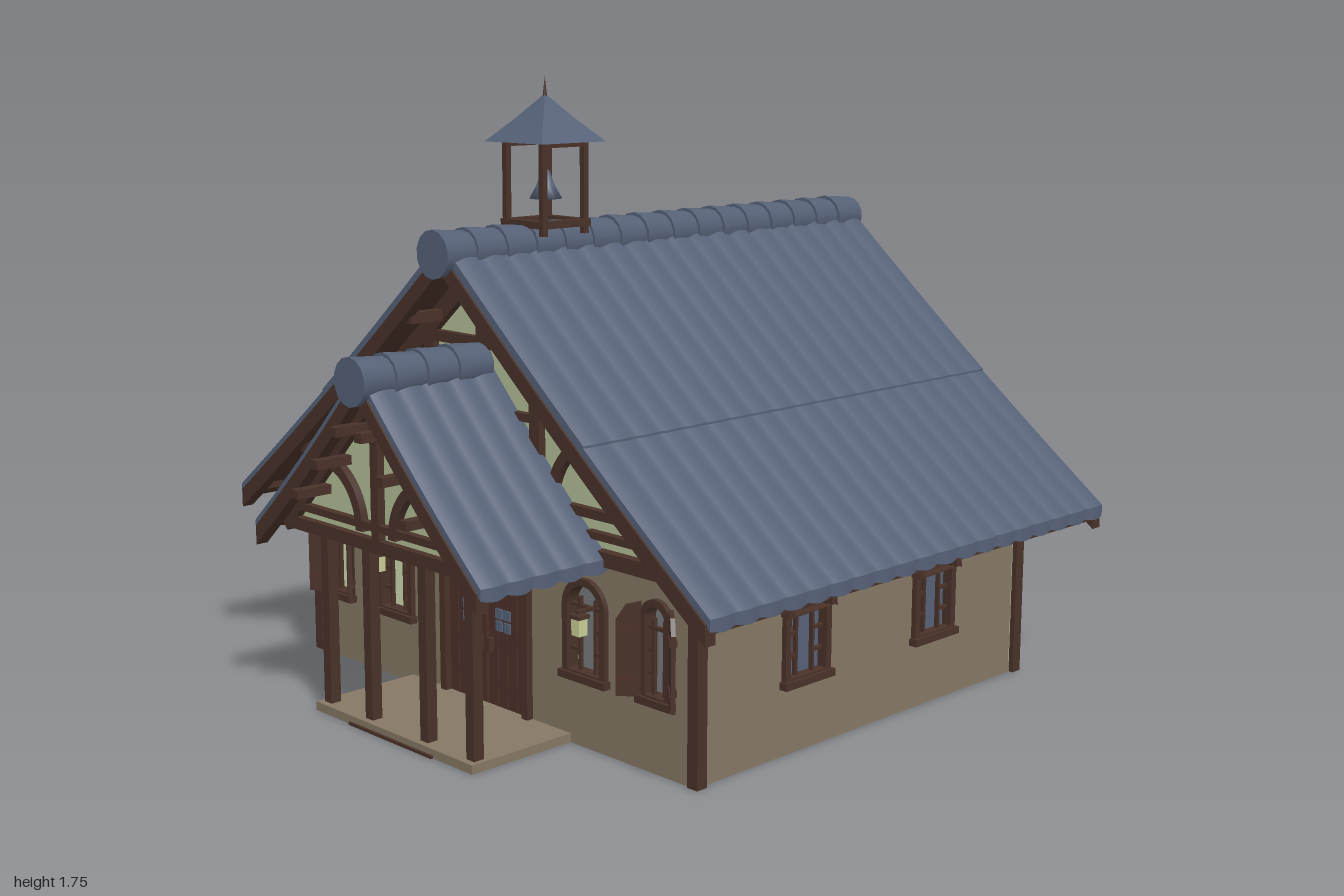
import * as THREE from 'three';

const mat = (name, color, side = THREE.FrontSide) => {
  const m = new THREE.MeshStandardMaterial({ color, side });
  m.name = name;
  return m;
};

export function createModel() {
  const slate = mat('slate', 0x566177);
  const wood = mat('dark timber', 0x493229);
  const doorWood = mat('door timber', 0x4d2f29);
  const stone = mat('tan wall', 0x857764);
  const plaster = mat('pale green plaster', 0xb3bf98);
  const glass = mat('window glass', 0x566177, THREE.DoubleSide);
  const lamp = mat('lantern glow', 0xc9cc94);

  const model = new THREE.Group();
  model.name = 'timberHouse';
  const house = new THREE.Group();
  house.name = 'house';
  house.position.z = -0.155;
  model.add(house);

  const add = (parent, name, geo, material, x = 0, y = 0, z = 0) => {
    const m = new THREE.Mesh(geo, material);
    m.name = name;
    m.position.set(x, y, z);
    parent.add(m);
    return m;
  };
  const box = (p, name, m, w, h, d, x, y, z) => add(p, name, new THREE.BoxGeometry(w, h, d), m, x, y, z);
  const beam = (p, x1, y1, x2, y2, w, z, d = 0.03) => {
    const b = box(p, 'beam', wood, Math.hypot(x2 - x1, y2 - y1), w, d, (x1 + x2) / 2, (y1 + y2) / 2, z);
    b.rotation.z = Math.atan2(y2 - y1, x2 - x1);
  };
  const extrude = (shape, depth) => new THREE.ExtrudeGeometry(shape, { depth, bevelEnabled: false, curveSegments: 12 });

  // Arched outline; rise is the height of the arch
  const arch = (P, x, hw, y0, y1, rise = hw) => {
    const s = new P();
    s.moveTo(x - hw, y0);
    s.lineTo(x + hw, y0);
    s.lineTo(x + hw, y1 - rise);
    s.absellipse(x, y1 - rise, hw, rise, 0, Math.PI, false);
    s.closePath();
    return s;
  };
  const polygon = pts => new THREE.Shape(pts.map(p => new THREE.Vector2(...p)));
  const curvedBrace = (p, x, y, r, a0, a1, z) => {
    const s = new THREE.Shape();
    s.absarc(x, y, r + 0.015, a0, a1, false);
    s.absarc(x, y, r - 0.015, a1, a0, true);
    add(p, 'curvedBrace', extrude(s, 0.025), wood, 0, 0, z);
  };

  // Window with frame, bars and optional glass, shutters and hood
  const addWindow = (p, x, hw, d, { glazed, shutters, hood }) => {
    const g = new THREE.Group();
    g.name = 'window';
    g.position.set(x, 0, d);
    p.add(g);
    const frame = arch(THREE.Shape, 0, hw, 0.19, 0.465);
    frame.holes.push(arch(THREE.Path, 0, hw - 0.02, 0.21, 0.445));
    add(g, 'windowFrame', extrude(frame, 0.04), wood, 0, 0, -0.025);
    box(g, 'sill', wood, hw * 2 + 0.015, 0.02, 0.05, 0, 0.195, 0);
    const bx = hw * 0.36;
    for (const s of [-1, 1]) {
      box(g, 'windowBar', wood, 0.008, 0.2, 0.012, s * bx, 0.31, -0.005);
      for (const y of [0.265, 0.325, 0.385]) {
        const w = hw - 0.018 - bx;
        box(g, 'windowCrossbar', wood, w, 0.009, 0.012, s * (bx + w / 2), y, -0.005);
      }
    }
    box(g, 'windowCrossbar', wood, bx * 2, 0.009, 0.012, 0, 0.385, -0.005);
    if (glazed) add(g, 'glass', new THREE.ShapeGeometry(arch(THREE.Shape, 0, hw - 0.015, 0.2, 0.45)), glass, 0, 0, -0.015);
    if (hood) {
      const h = arch(THREE.Shape, 0, hw + 0.005, 0.385, 0.475);
      h.holes.push(arch(THREE.Path, 0, hw - 0.018, 0.385001, 0.45, 0.06));
      add(g, 'hood', extrude(h, 0.03), wood);
    }
    if (shutters) for (const s of [-1, 1]) {
      const hinge = new THREE.Group();
      hinge.name = 'shutter';
      hinge.position.set(s * (hw + 0.002), 0, 0.005);
      hinge.rotation.y = -s * 0.7;
      g.add(hinge);
      const top = s > 0 ? [[0, 0.45], [0.04, 0.44], [0.065, 0.4]] : [[0, 0.45], [-0.04, 0.44], [-0.065, 0.4]];
      add(hinge, 'shutterPanel', extrude(polygon([[0, 0.2], ...top, [s * 0.065, 0.2]]), 0.012), wood);
      for (const y of [0.25, 0.38]) box(hinge, 'shutterBatten', doorWood, 0.055, 0.015, 0.02, s * 0.033, y, 0.006);
    }
  };

  // Four walls: tan outside, plaster inside
  const makeWall = (name, rot, hw, d, height, windows, opts, door) => {
    const g = new THREE.Group();
    g.name = name;
    g.rotation.y = rot;
    house.add(g);
    const s = polygon([[-hw, 0], [hw, 0], [hw, height], [-hw, height]]);
    for (const [x, w] of windows) s.holes.push(arch(THREE.Path, x, w - 0.015, 0.205, 0.45));
    if (door) s.holes.push(arch(THREE.Path, 0, 0.17, 0.002, 0.44, 0.05));
    add(g, 'outerWall', extrude(s, 0.02), stone, 0, 0, d - 0.02);
    add(g, 'innerWall', extrude(s, 0.01), plaster, 0, 0, d - 0.03);
    for (const [x, w] of windows) addWindow(g, x, w, d, { ...opts, shutters: w < 0.07 });
    return g;
  };
  const front = makeWall('frontWall', 0, 0.8, 0.68, 0.55,
    [[-0.67, 0.055], [0.67, 0.055], [-0.405, 0.082], [0.405, 0.082]], {}, true);
  const back = makeWall('backWall', Math.PI, 0.8, 0.68, 0.55,
    [[-0.41, 0.055], [0.41, 0.055], [-0.135, 0.082], [0.135, 0.082]], { glazed: true });
  const sideWindows = [[-0.27, 0.09], [0.27, 0.09]];
  makeWall('leftWall', Math.PI / 2, 0.65, 0.8, 0.58, sideWindows, { glazed: true, hood: true });
  makeWall('rightWall', -Math.PI / 2, 0.65, 0.8, 0.58, sideWindows, { hood: true });
  for (const x of [-0.797, 0.797]) for (const z of [-0.67, 0.67]) box(house, 'cornerPost', wood, 0.035, 0.56, 0.035, x, 0.28, z);

  // Timbered gables at both ends
  for (const g of [front, back]) {
    add(g, 'gablePlaster', extrude(polygon([[-0.8, 0.53], [0.8, 0.53], [0.8, 0.58], [0, 1.27], [-0.8, 0.58]]), 0.025), plaster, 0, 0, 0.65);
    const z = 0.682;
    beam(g, -0.81, 0.535, 0.81, 0.535, 0.04, z, 0.04);
    beam(g, -0.27, 1.04, 0.27, 1.04, 0.03, z);
    beam(g, -0.21, 0.86, 0.21, 0.86, 0.022, z);
    beam(g, 0, 1.04, 0, 1.27, 0.03, z);
    for (const s of [-1, 1]) {
      beam(g, s * 0.22, 0.54, s * 0.22, 1.08, 0.04, z);
      beam(g, s * 0.22, 0.645, s * 0.74, 0.645, 0.025, z);
      beam(g, s * 0.42, 0.59, s * 0.78, 0.59, 0.02, z);
      beam(g, 0, 1.25, s * 0.81, 0.565, 0.05, z);
      curvedBrace(g, s * 0.48, 0.64, 0.2, s > 0 ? Math.PI / 2 : 0, s > 0 ? Math.PI : Math.PI / 2, 0.672);
      for (const [x, y] of [[0.17, 1.1], [0.35, 0.945], [0.53, 0.79], [0.68, 0.665]])
        box(g, 'purlinEnd', wood, 0.03, 0.03, 0.14, s * x, y, 0.735);
    }
  }

  // Double doors
  const frame = arch(THREE.Shape, 0, 0.187, 0, 0.458, 0.058);
  frame.holes.push(arch(THREE.Path, 0, 0.163, 0.002, 0.432, 0.05));
  add(front, 'doorFrame', extrude(frame, 0.045), wood, 0, 0, 0.655);
  for (const s of [-1, 1]) {
    add(front, 'doorLeaf', extrude(polygon([[s * 0.005, 0.01], [s * 0.165, 0.01], [s * 0.165, 0.39], [s * 0.09, 0.42], [s * 0.03, 0.42], [s * 0.005, 0.38]]), 0.022), doorWood, 0, 0, 0.658);
    for (const x of [0.045, 0.085, 0.125]) box(front, 'doorSeam', wood, 0.003, 0.36, 0.004, s * x, 0.2, 0.681);
    for (const dx of [-0.017, 0.017]) for (const y of [0.258, 0.293])
      box(front, 'doorPane', slate, 0.026, 0.028, 0.008, s * 0.07 + dx, y, 0.682);
    box(front, 'doorHandle', wood, 0.01, 0.04, 0.02, s * 0.022, 0.2, 0.688);
    box(front, 'lantern', lamp, 0.03, 0.045, 0.03, s * 0.43, 0.35, 0.73);
    box(front, 'lanternCap', wood, 0.038, 0.01, 0.038, s * 0.43, 0.378, 0.73);
    box(front, 'lanternArm', wood, 0.01, 0.01, 0.06, s * 0.43, 0.39, 0.71);
  }

  // Curved roof sheet on one side, with scalloped tile columns
  const sheet = (name, s, yAt, x0, x1, z0, z1, { t = 0.03, dy = 0, wave = 0.008, top = slate } = {}) => {
    const len = z1 - z0, n = Math.round(len / 0.0873);
    const geo = new THREE.BoxGeometry(1, t, len, 10, 1, wave ? n * 6 : 1);
    const p = geo.attributes.position;
    for (let i = 0; i < p.count; i++) {
      const u = 0.5 + s * p.getX(i);
      const w = wave * Math.abs(Math.sin(Math.PI * n * (p.getZ(i) / len + 0.5)));
      const x = x0 + (x1 - x0) * u + (u > 0.99 ? w : 0);
      p.setXYZ(i, s * x, yAt(x) + dy + p.getY(i) + (p.getY(i) > 0 ? w : 0), p.getZ(i) + (z0 + z1) / 2);
    }
    geo.computeVertexNormals();
    add(house, name, geo, [top, top, top, wood, top, top]);
  };
  // Barrel tiles along a ridge
  const ridge = (y, z0, z1, count) => {
    const step = (z1 - z0) / count;
    for (let i = 0; i < count; i++) {
      const geo = new THREE.CylinderGeometry(0.066, 0.056, step * 1.15, 14).rotateX(Math.PI / 2);
      add(house, 'ridgeTile', geo, slate, 0, y, z0 + (i + 0.5) * step);
    }
  };

  const mainY = x => 1.305 - 0.81 * (x / 0.985) - 0.016 * Math.sin(Math.PI * x / 0.985);
  const porchY = x => 1.0 - 0.48 * (x / 0.485) - 0.012 * Math.sin(Math.PI * x / 0.485);
  const board = { t: 0.055, dy: -0.035, wave: 0, top: wood };
  for (const s of [-1, 1]) {
    sheet('mainRoofLower', s, mainY, 0.5, 0.985, -0.825, 0.825);
    sheet('mainRoofUpper', s, mainY, 0, 0.55, -0.825, 0.825, { dy: 0.006 });
    sheet('bargeboard', s, mainY, 0, 0.975, 0.795, 0.831, board);
    sheet('bargeboard', s, mainY, 0, 0.975, -0.831, -0.795, board);
    sheet('eavesBoard', s, mainY, 0.95, 0.975, -0.82, 0.82, { ...board, t: 0.03, dy: -0.02 });
    sheet('porchRoof', s, porchY, 0, 0.485, 0.68, 1.105);
    sheet('porchBargeboard', s, porchY, 0, 0.475, 1.075, 1.111, board);
  }
  ridge(1.29, -0.83, 0.845, 16);
  ridge(0.985, 0.7, 1.12, 4);

  // Porch with slab, posts and timbered gable
  const porch = new THREE.Group();
  porch.name = 'porch';
  house.add(porch);
  box(porch, 'porchSlab', stone, 0.68, 0.025, 0.34, 0, 0.0125, 0.85);
  box(porch, 'doorstep', wood, 0.36, 0.008, 0.01, 0, 0.004, 1.022);
  add(porch, 'porchPlaster', extrude(polygon([[-0.4, 0.54], [0.4, 0.54], [0, 0.96]]), 0.015), plaster, 0, 0, 1.02);
  const pz = 1.042;
  beam(porch, -0.4, 0.54, 0.4, 0.54, 0.035, pz);
  beam(porch, -0.36, 0.59, 0.36, 0.59, 0.02, pz);
  beam(porch, 0, 0.54, 0, 0.96, 0.032, pz);
  for (const s of [-1, 1]) {
    for (const x of [0.12, 0.31]) box(porch, 'porchPost', wood, 0.032, 0.51, 0.032, s * x, 0.28, 0.985);
    box(porch, 'porchSideBeam', wood, 0.03, 0.035, 0.36, s * 0.31, 0.535, 0.86);
    beam(porch, 0, 0.955, s * 0.42, 0.53, 0.05, pz);
    curvedBrace(porch, s * 0.24, 0.57, 0.17, s > 0 ? Math.PI / 2 : 0, s > 0 ? Math.PI : Math.PI / 2, 1.032);
    for (const [x, y] of [[0.055, 0.85], [0.14, 0.75], [0.235, 0.655]])
      box(porch, 'porchPurlin', wood, 0.03, 0.025, 0.13, s * x, y, 1.08);
  }

  // Bell turret
  const turret = new THREE.Group();
  turret.name = 'bellTurret';
  turret.position.z = 0.455;
  house.add(turret);
  for (const s of [-1, 1]) {
    box(turret, 'turretBase', wood, 0.175, 0.02, 0.025, 0, 1.35, s * 0.075);
    box(turret, 'turretBase', wood, 0.025, 0.02, 0.175, s * 0.075, 1.35, 0);
    for (const z of [-0.075, 0.075]) box(turret, 'turretPost', wood, 0.017, 0.26, 0.017, s * 0.075, 1.45, z);
    box(turret, 'turretPlate', wood, 0.016, 0.016, 0.16, s * 0.075, 1.565, 0);
  }
  const pyramid = (r0, r1, h) => new THREE.CylinderGeometry(r1 * Math.SQRT2, r0 * Math.SQRT2, h, 4).toNonIndexed().rotateY(Math.PI / 4);
  const flat = geo => { geo.computeVertexNormals(); return geo; };
  add(turret, 'turretRoof', flat(pyramid(0.117, 0.058, 0.062)), slate, 0, 1.601, 0);
  add(turret, 'turretRoof', flat(pyramid(0.058, 0.004, 0.063)), slate, 0, 1.6635, 0);
  add(turret, 'finial', new THREE.ConeGeometry(0.007, 0.06, 8), wood, 0, 1.715, 0);
  const bell = [[0.001, 1.5], [0.012, 1.49], [0.026, 1.45], [0.046, 1.415], [0.001, 1.415]].reverse().map(p => new THREE.Vector2(...p));
  add(turret, 'bell', new THREE.LatheGeometry(bell, 12), slate);
  box(turret, 'bellRod', wood, 0.008, 0.07, 0.008, 0, 1.53, 0);

  // Chimney
  add(house, 'chimney', flat(pyramid(0.056, 0.043, 0.24)), stone, -0.54, 0.88, -0.475);
  box(house, 'chimneyRim', stone, 0.094, 0.02, 0.094, -0.54, 1.0, -0.475);
  box(house, 'chimneyFlue', wood, 0.05, 0.006, 0.05, -0.54, 1.009, -0.475);

  return model;
}
